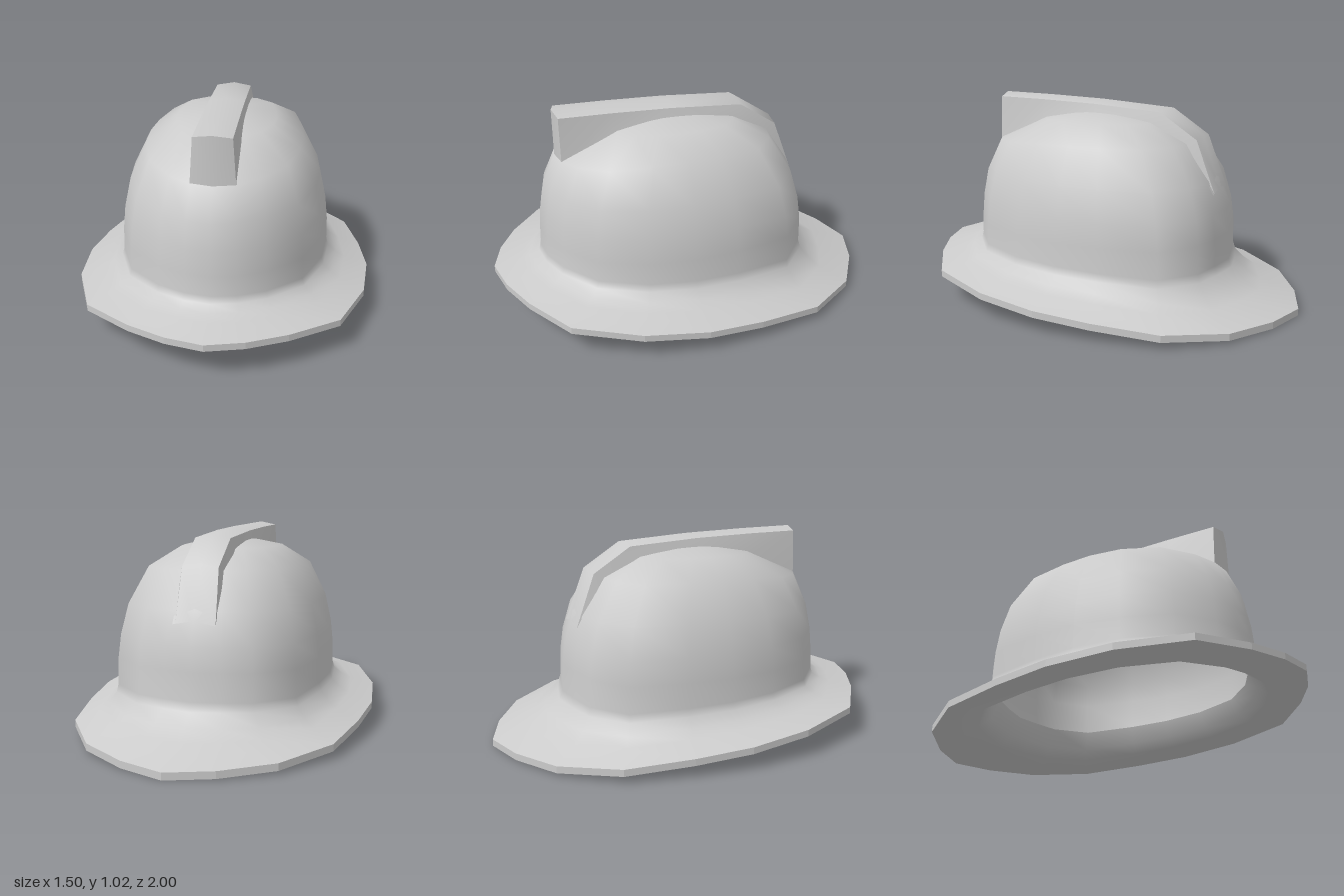
import * as THREE from 'three';
import { mergeVertices, toCreasedNormals } from 'three/addons/utils/BufferGeometryUtils.js';

// Half outlines [x, z] on the left side, from back to front
const BRIM = [[0, -1], [0.22, -0.93], [0.455, -0.79], [0.648, -0.53], [0.717, -0.21], [0.748, 0.07],
  [0.717, 0.38], [0.595, 0.7], [0.365, 0.865], [0.18, 0.955], [0, 1]];
const DOME = [[0, -0.63], [0.14, -0.605], [0.28, -0.57], [0.45, -0.43], [0.508, -0.15], [0.525, 0.07],
  [0.5, 0.3], [0.41, 0.53], [0.25, 0.67], [0.12, 0.73], [0, 0.75]];
const CENTRE_Z = 0.07;
const FRONT_REACH = 0.68;

// Mirror a half outline into a full ring
const fullRing = (half) => [...half, ...half.slice(1, -1).reverse().map(([x, z]) => [-x, z])];
const brim = fullRing(BRIM);
const dome = fullRing(DOME);

// Skin a list of cross-sections that have equal point counts
function loft(sections, closed) {
  const n = sections[0].length;
  const index = [];
  for (let j = 0; j < sections.length - 1; j++) {
    for (let i = 0; i < (closed ? n : n - 1); i++) {
      const a = j * n + i, b = j * n + (i + 1) % n;
      index.push(a, b, a + n, b, b + n, a + n);
    }
  }
  const geometry = new THREE.BufferGeometry();
  geometry.setAttribute('position', new THREE.Float32BufferAttribute(sections.flat(2), 3));
  geometry.setIndex(index);
  const merged = mergeVertices(geometry);
  merged.computeVertexNormals();
  return merged;
}

// Dome outline scaled about its centre
const domeRing = (s, yAt) => dome.map(([x, z]) => {
  const zz = CENTRE_Z + (z - CENTRE_Z) * s;
  return [x * s, yAt(zz), zz];
});
// Dome level whose height and scale change towards the front; inset and drop make the inner wall
const levelRing = ([y, s, frontY, frontS], inset = 1, drop = 0) => dome.map(([x, z]) => {
  const t = Math.max(0, (z - CENTRE_Z) / FRONT_REACH) ** 2;
  const k = (s + (frontS - s) * t) * inset;
  return [x * k, y + (frontY - y) * t - drop, CENTRE_Z + (z - CENTRE_Z) * k];
});
// Outline between dome (f = 0) and brim edge (f = 1)
const brimRing = (f, yAt) => dome.map(([x, z], i) => {
  const zz = z + (brim[i][1] - z) * f;
  return [x + (brim[i][0] - x) * f, yAt(zz), zz];
});

export function createModel() {
  const group = new THREE.Group();
  const add = (name, geometry, flatShading = false) => {
    const material = new THREE.MeshStandardMaterial({ color: 0xcccccc, flatShading, side: THREE.DoubleSide });
    const mesh = new THREE.Mesh(geometry, material);
    mesh.name = name;
    group.add(mesh);
  };

  // The brim is tilted, higher at the front
  const top = (z) => 0.112 + 0.077 * z;
  const bottom = (z) => 0.078 + 0.078 * z;

  // Dome levels: [height, scale, front height, front scale]
  const levels = [[0.972, 0, 0.972, 0], [0.921, 0.475, 0.908, 0.45], [0.83, 0.74, 0.78, 0.853],
    [0.65, 0.91, 0.63, 0.95], [0.5, 0.975, 0.5, 0.985], [0.38, 1, 0.38, 1]];

  // Outer skin: dome, flare and upper brim
  add('outerShell', loft([
    ...levels.map((level) => levelRing(level)),
    domeRing(1.005, (z) => 0.26 + 0.03 * z),
    brimRing(0.06, (z) => 0.222 + 0.035 * z),
    brimRing(0.25, (z) => top(z) + 0.07 - 0.02 * z),
    brimRing(0.46, (z) => top(z) + 0.04 - 0.008 * z),
    brimRing(1, top),
  ], true));

  // Thin rim around the brim
  add('brimEdge', loft([brimRing(1, top), brimRing(1, bottom)], true), true);

  // Underside of the brim, curving up to the opening
  const opening = domeRing(0.93, (z) => 0.22 + 0.035 * z);
  add('brimUnderside', loft([
    brimRing(1, bottom),
    brimRing(0.2, (z) => bottom(z) + 0.012 - 0.022 * z),
    domeRing(0.99, (z) => 0.135 + 0.05 * z),
    opening,
  ], true));

  // Hollow inside of the dome
  add('innerDome', loft([
    opening,
    ...levels.slice().reverse().map((level) => levelRing(level, 0.95, 0.025 * level[0])),
  ], true));

  // Crest stations: [z, ridge height, buried bottom height]
  const stations = [[0.648, 1.017, 0.772], [0.37, 1.016, 0.885], [0.07, 1.01, 0.938],
    [-0.29, 0.99, 0.895], [-0.48, 0.867, 0.755], [-0.578, 0.61, 0.59]];
  const sections = stations.map(([z, y, b], i) => {
    const side = i === 0 ? z - 0.02 : z;
    return [[-0.105, b, side], [-0.09, y - 0.016, side], [0, y, z], [0.09, y - 0.016, side], [0.105, b, side]];
  });
  // A collapsed first section closes the front
  const cap = sections[0].map(() => [0, stations[0][2], stations[0][0]]);
  add('crest', toCreasedNormals(loft([cap, ...sections], false), 0.7));

  return group;
}
